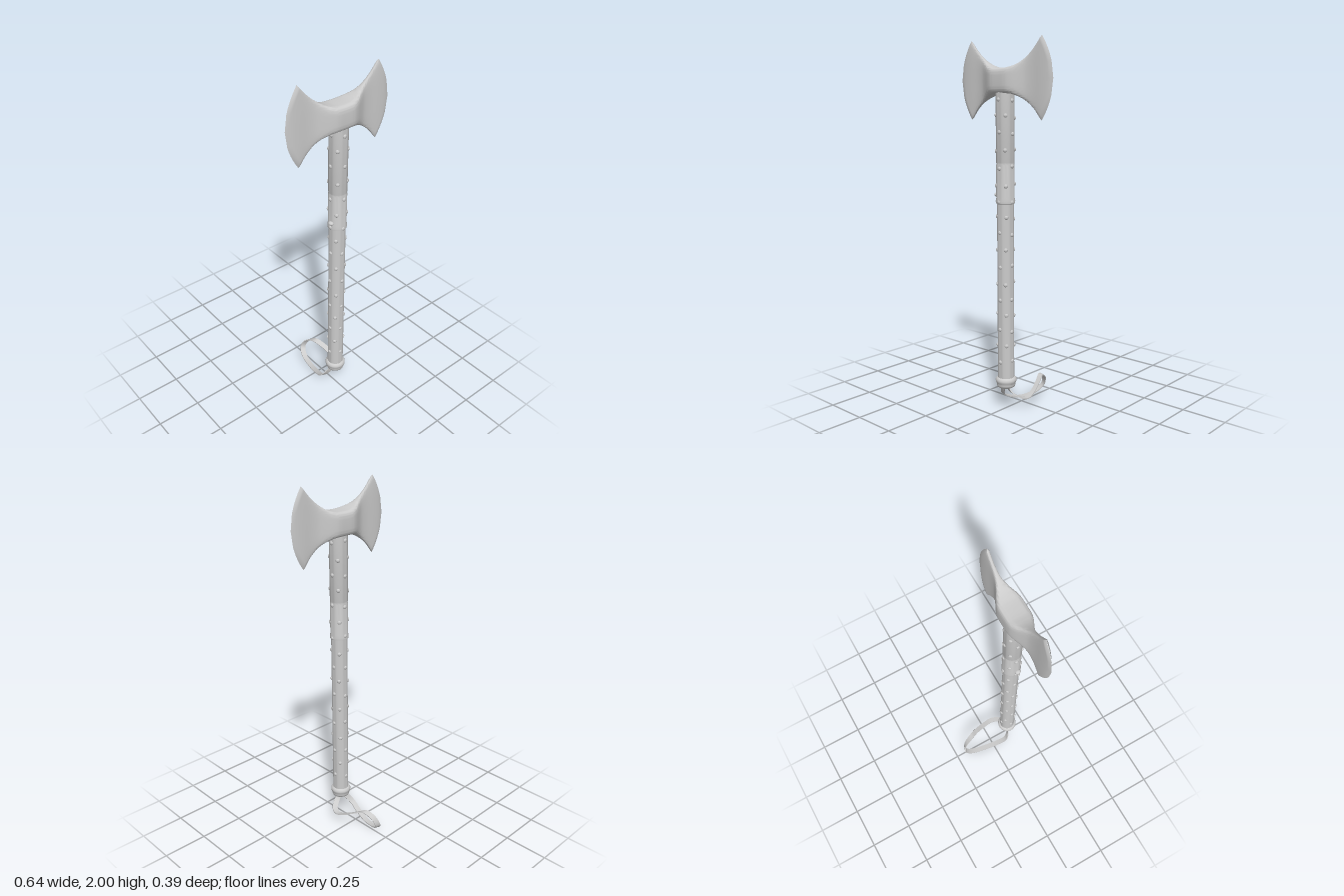
import * as THREE from 'three';
import { toCreasedNormals } from 'three/addons/utils/BufferGeometryUtils.js';

const AXIS_Z = 0.128;
const grey = new THREE.MeshStandardMaterial({ color: 0xcccccc });
const greyDouble = new THREE.MeshStandardMaterial({ color: 0xcccccc, side: THREE.DoubleSide });

function add(parent, name, geometry, material = grey) {
  const mesh = new THREE.Mesh(geometry, material);
  mesh.name = name;
  parent.add(mesh);
  return mesh;
}

// Skin a list of closed rings (arrays of Vector3) with quads
function loft(rings) {
  const n = rings[0].length, pos = [], idx = [];
  rings.forEach(r => r.forEach(p => pos.push(p.x, p.y, p.z)));
  for (let i = 0; i < rings.length - 1; i++) {
    for (let j = 0; j < n; j++) {
      const a = i * n + j, b = i * n + (j + 1) % n;
      idx.push(a, b, a + n, b, b + n, a + n);
    }
  }
  const g = new THREE.BufferGeometry();
  g.setAttribute('position', new THREE.Float32BufferAttribute(pos, 3));
  g.setIndex(idx);
  g.computeVertexNormals();
  return g;
}

// Smooth lookup in a table of [x, value] pairs
function lookup(table, x) {
  let i = 0;
  while (i < table.length - 2 && x > table[i + 1][0]) i++;
  const slope = k => {
    const a = table[Math.max(k - 1, 0)], b = table[Math.min(k + 1, table.length - 1)];
    return (b[1] - a[1]) / (b[0] - a[0]);
  };
  const [x0, y0] = table[i], [x1, y1] = table[i + 1], h = x1 - x0;
  const t = Math.min(1, Math.max(0, (x - x0) / h)), t2 = t * t, t3 = t2 * t;
  return y0 * (2 * t3 - 3 * t2 + 1) + h * slope(i) * (t3 - 2 * t2 + t)
    + y1 * (3 * t2 - 2 * t3) + h * slope(Math.min(i + 1, table.length - 1)) * (t3 - t2);
}

const topEdge = [[0, 1.85], [0.05, 1.853], [0.1, 1.868], [0.15, 1.9], [0.2, 1.945], [0.247, 2.0]];
const bottomEdge = [[0, 1.72], [0.06, 1.718], [0.1, 1.706], [0.15, 1.68], [0.2, 1.64], [0.247, 1.583]];
const halfThickness = [[0, 0.064], [0.05, 0.062], [0.08, 0.052], [0.12, 0.031], [0.15, 0.018],
  [0.19, 0.012], [0.25, 0.011], [0.29, 0.008], [0.32, 0.001]];

// Double-bitted head: rings around each station, bulging out to curved cutting edges
function headGeometry() {
  const rings = [], stations = 64, sides = 48;
  for (let i = 0; i <= stations; i++) {
    const u = (i / stations) * 2 - 1, a = Math.abs(u), s = Math.sign(u), x0 = a * 0.247;
    const top = lookup(topEdge, x0), bottom = lookup(bottomEdge, x0);
    const ring = [];
    for (let j = 0; j < sides; j++) {
      const t = (j / sides) * Math.PI * 2, c = Math.cos(t), n = Math.sin(t);
      const v = Math.sign(c) * Math.abs(c) ** 0.45;
      const x = x0 + 0.073 * a * a * (1 - v * v);
      const thick = a === 1 ? 0.0005 : lookup(halfThickness, x);
      const y = (top + bottom) / 2 + v * (top - bottom) / 2;
      ring.push(new THREE.Vector3(s * x, y, 0.125 + Math.sign(n) * Math.abs(n) ** 0.35 * thick));
    }
    rings.push(ring);
  }
  return toCreasedNormals(loft(rings), 0.9);
}

// Flat leather strap swept along a path, its width kept roughly sideways
function strapGeometry() {
  const points = [[0.005, 0.14, 0.128], [0.03, 0.105, 0.125], [0.075, 0.075, 0.1], [0.093, 0.064, 0.06],
    [0.084, 0.08, 0], [0.063, 0.115, -0.07], [0.04, 0.133, -0.12], [0.02, 0.103, -0.172],
    [0, 0.05, -0.187], [-0.018, 0.016, -0.15], [-0.035, 0.004, -0.06], [-0.053, 0.025, 0.03],
    [-0.06, 0.055, 0.085], [-0.035, 0.1, 0.115], [-0.005, 0.14, 0.128]];
  const curve = new THREE.CatmullRomCurve3(points.map(p => new THREE.Vector3(...p)));
  const rings = [], steps = 90;
  for (let i = 0; i <= steps; i++) {
    const p = curve.getPointAt(i / steps), t = curve.getTangentAt(i / steps);
    const w = new THREE.Vector3(1, 0, 0.35).addScaledVector(t, -t.x - 0.35 * t.z).normalize();
    const n = new THREE.Vector3().crossVectors(t, w);
    rings.push([[-1, -1], [1, -1], [1, 1], [-1, 1]].map(([a, b]) =>
      p.clone().addScaledVector(w, a * 0.015).addScaledVector(n, b * 0.003)));
  }
  return toCreasedNormals(loft(rings), 0.7);
}

export function createModel() {
  const model = new THREE.Group();
  model.name = 'doubleAxe';

  add(model, 'axeHead', headGeometry());

  const handle = new THREE.Group();
  handle.name = 'handle';
  handle.position.z = AXIS_Z;
  model.add(handle);

  const lathe = (name, profile) => add(handle, name, toCreasedNormals(
    new THREE.LatheGeometry(profile.map(p => new THREE.Vector2(...p)), 32), 0.8));

  // Shaft, and the thicker wrap around its upper part
  lathe('shaft', [[0, 0.15], [0.045, 0.15], [0.045, 0.6], [0.045, 1.2]]);
  lathe('upperWrap', [[0.044, 1.145], [0.051, 1.148], [0.052, 1.16], [0.049, 1.175],
    [0.049, 1.35], [0.047, 1.357], [0.049, 1.364], [0.05, 1.74], [0, 1.74]]);
  lathe('pommel', [[0, 0.122], [0.035, 0.123], [0.048, 0.13], [0.052, 0.142], [0.051, 0.15],
    [0.057, 0.158], [0.058, 0.17], [0.052, 0.18], [0.044, 0.184]]);

  // Staggered studs set in the leather
  const studs = new THREE.Group();
  studs.name = 'studs';
  handle.add(studs);
  const studShape = new THREE.SphereGeometry(0.011, 10, 8);
  for (let row = 0; row < 17; row++) {
    const y = 0.275 + row * 0.0885, r = y > 1.15 ? 0.049 : 0.045;
    for (let k = 0; k < 4; k++) {
      const angle = (k + (row % 2) / 2) * Math.PI / 2 + 0.06 * Math.sin(row * 2.3 + k);
      const stud = add(studs, 'stud', studShape);
      stud.position.set(r * Math.sin(angle), y + 0.008 * Math.sin(k * 1.9 + row), r * Math.cos(angle));
      stud.rotation.y = angle;
      stud.scale.z = 0.6;
    }
  }

  // Loose end of the wrap tied at its lower edge
  const knot = add(handle, 'wrapKnot', new THREE.SphereGeometry(0.014, 12, 8));
  knot.position.set(-0.052, 1.19, 0.01);
  knot.scale.set(1, 0.8, 1.2);

  // Wrist loop hanging from the pommel
  add(model, 'wristStrap', strapGeometry(), greyDouble);
  return model;
}
